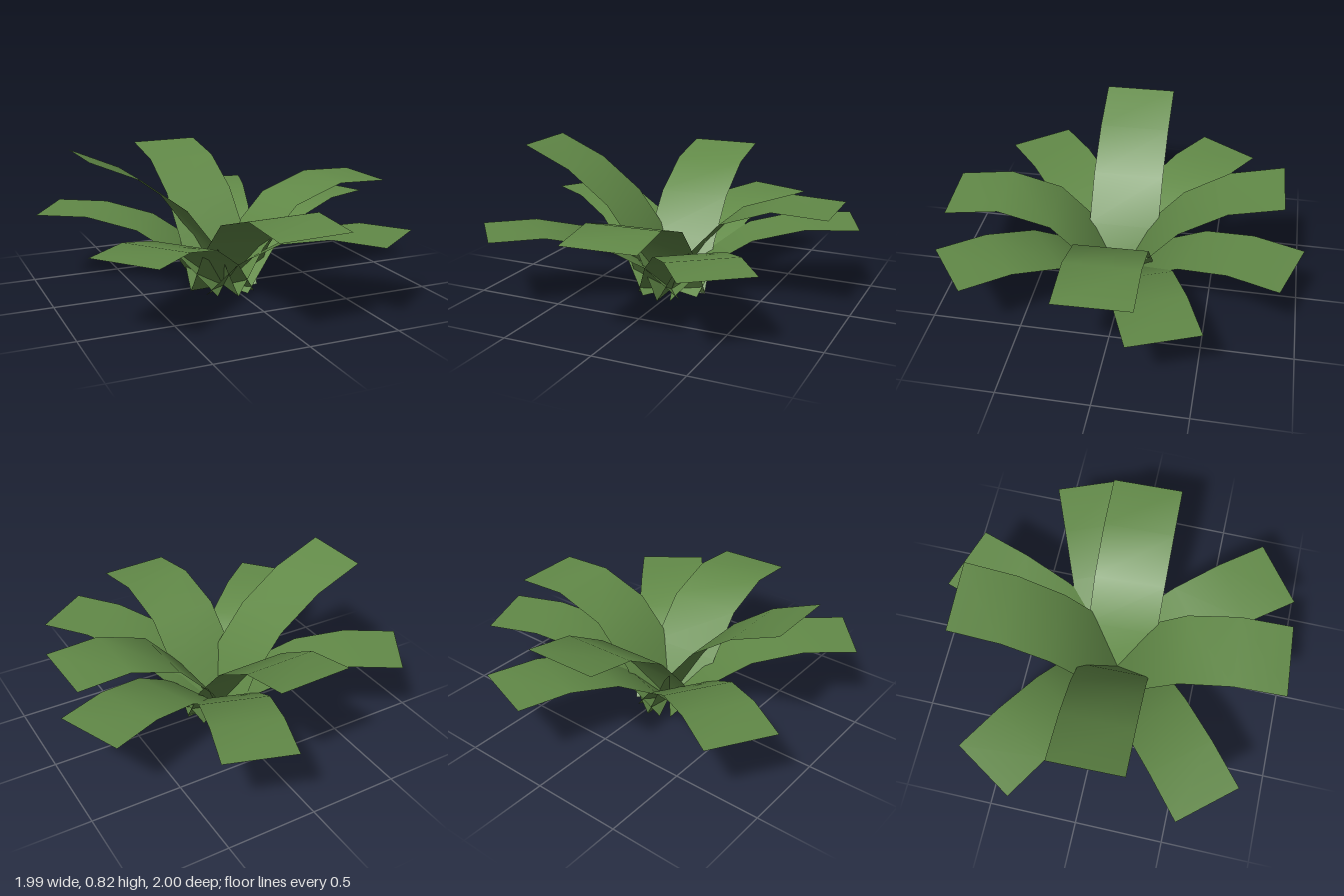
import * as THREE from 'three';

const leafGreen = new THREE.MeshStandardMaterial({ color: 0x628a48, side: THREE.DoubleSide });
leafGreen.name = 'leafGreen';

// A strip that leaves the root along +z, each segment rising at its own angle in degrees
function leafGeometry(width, segment, angles) {
  const geometry = new THREE.PlaneGeometry(width, 1, 1, angles.length).rotateX(-Math.PI / 2);
  const pos = geometry.attributes.position;
  let y = 0, z = 0;
  for (let row = 0; row <= angles.length; row++) {
    for (let side = 0; side < 2; side++) {
      const i = row * 2 + side;
      pos.setXYZ(i, pos.getX(i), y, z);
    }
    if (row < angles.length) {
      const a = THREE.MathUtils.degToRad(angles[row]);
      y += segment * Math.sin(a);
      z += segment * Math.cos(a);
    }
  }
  geometry.computeVertexNormals();
  return geometry;
}

export function createModel() {
  const model = new THREE.Group();
  model.name = 'leafyPlant';
  const root = new THREE.Vector3(-0.03, 0, 0.03);

  function addLeaf(name, geometry, dx, dz) {
    const leaf = new THREE.Mesh(geometry, leafGreen);
    leaf.name = name;
    leaf.position.copy(root);
    leaf.rotation.y = Math.atan2(dx, dz);
    model.add(leaf);
  }

  // Five low outer leaves with level tips
  const outer = leafGeometry(0.387, 0.29, [46, 31, 13, 0]);
  [[-0.865, -0.545], [0.32, -0.97], [0.95, -0.38], [0.615, 0.815], [-0.78, 0.655]]
    .forEach(([dx, dz], i) => addLeaf('outerLeaf' + (i + 1), outer, dx, dz));

  // Four upright inner leaves, each bent differently
  [
    ['innerLeafRight', [67, 53, 37, 23.5], -0.815, 0.015],
    ['innerLeafBack', [61, 49, 31, 12], -0.03, -0.88],
    ['innerLeafLeft', [60, 47, 19.5, -2], 0.94, -0.027],
    ['innerLeafFront', [58, 46, 17, -6], 0.065, 0.947],
  ].forEach(([name, angles, dx, dz]) => addLeaf(name, leafGeometry(0.406, 0.3, angles), dx, dz));

  return model;
}
